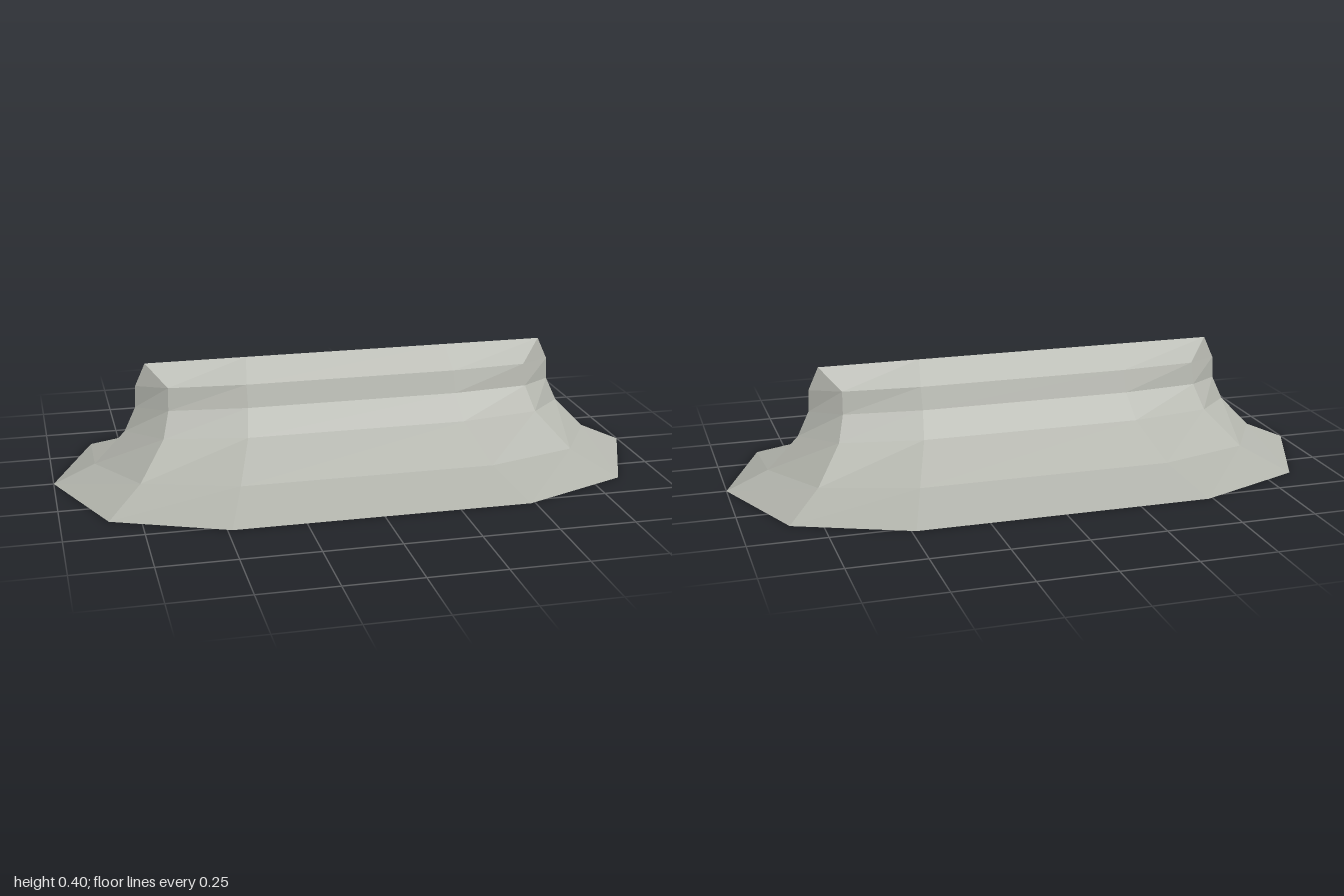
import * as THREE from 'three';

const stone = new THREE.MeshStandardMaterial({ color: 0xb2b4ac, side: THREE.DoubleSide, flatShading: true });
stone.name = 'pale grey stone';

// Each level: height, tip x, corner x and z, shoulder x and z (one quarter of a ten-sided ring)
const LEVELS = [
  [0, 1, 0.85, 0.372, 0.485, 0.527],
  [0.06, 0.862, 0.733, 0.222, 0.423, 0.318],
  [0.167, 0.758, 0.642, 0.113, 0.37, 0.162],
  [0.248, 0.72, 0.618, 0.067, 0.357, 0.096],
  [0.321, 0.717, 0.615, 0.05, 0.357, 0.071],
  [0.396, 0.683, 0.683, 0, 0.345, 0],
];

// Mirror a quarter profile into a full closed ring
function ring([y, tip, cx, cz, sx, sz]) {
  return [
    [tip, 0], [cx, cz], [sx, sz], [-sx, sz], [-cx, cz],
    [-tip, 0], [-cx, -cz], [-sx, -sz], [sx, -sz], [cx, -cz],
  ].map(([x, z]) => new THREE.Vector3(x, y, z));
}

// Skin neighbouring rings, leaving out collapsed triangles; the underside stays open
function skin(rings) {
  const pos = [];
  const tri = (a, b, c) => {
    if (new THREE.Triangle(a, b, c).getArea() < 1e-6) return;
    for (const p of [a, b, c]) pos.push(p.x, p.y, p.z);
  };
  for (let i = 0; i < rings.length - 1; i++) {
    const lo = rings[i], hi = rings[i + 1], n = lo.length;
    for (let j = 0; j < n; j++) {
      const k = (j + 1) % n;
      tri(lo[j], hi[j], lo[k]);
      tri(lo[k], hi[j], hi[k]);
    }
  }
  const geo = new THREE.BufferGeometry();
  geo.setAttribute('position', new THREE.Float32BufferAttribute(pos, 3));
  geo.computeVertexNormals();
  return geo;
}

export function createModel() {
  const group = new THREE.Group();
  group.name = 'flaredRidge';
  const rings = LEVELS.map(ring);

  // Wide skirt, curved flanks and the sharp crest
  const parts = { flaredSkirt: [0, 2], curvedFlanks: [1, 4], ridgeCrest: [3, 6] };
  for (const [name, [from, to]] of Object.entries(parts)) {
    const mesh = new THREE.Mesh(skin(rings.slice(from, to)), stone);
    mesh.name = name;
    group.add(mesh);
  }
  return group;
}
